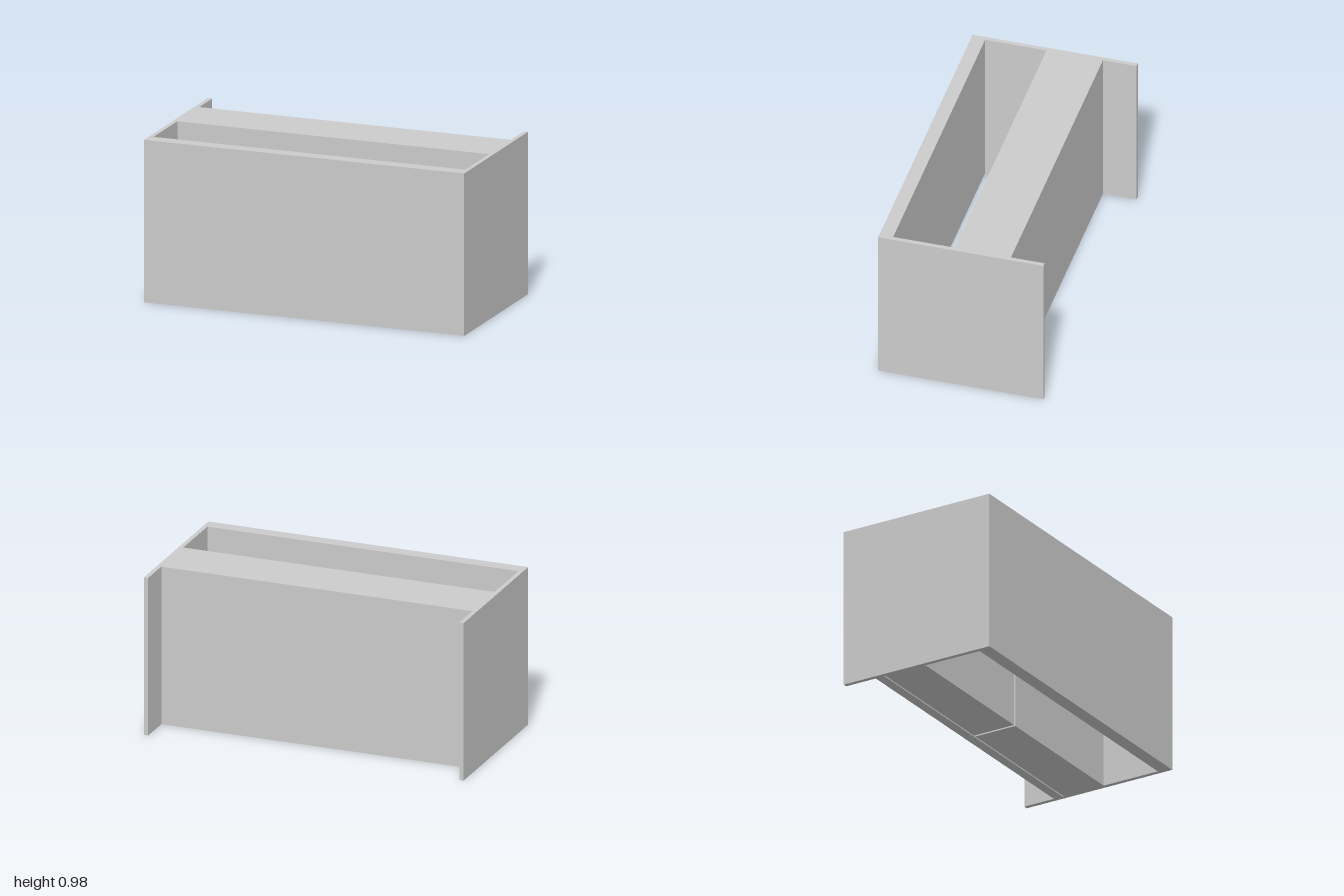
import * as THREE from 'three';

const H = 0.975;       // overall height
const D = 0.4975;      // half depth
const T = 0.027;       // side panel thickness
const IN = 1 - T;      // half of the inner width

export function createModel() {
  const group = new THREE.Group();
  const material = new THREE.MeshStandardMaterial({ color: 0xcccccc });

  // Board given by its limits on each axis
  function board(name, [x0, x1], [y0, y1], [z0, z1]) {
    const mesh = new THREE.Mesh(new THREE.BoxGeometry(x1 - x0, y1 - y0, z1 - z0), material);
    mesh.name = name;
    mesh.position.set((x0 + x1) / 2, (y0 + y1) / 2, (z0 + z1) / 2);
    group.add(mesh);
  }

  // Outer walls
  board('leftSidePanel', [IN, 1], [0, H], [-D, D]);
  board('rightSidePanel', [-1, -IN], [0, H], [-D, D]);
  board('frontPanel', [-IN, IN], [0, H], [0.415, D]);

  // Cabinet block behind the open well
  board('backPanel', [-IN, IN], [0, H], [-0.295, -0.237]);
  board('upperBlock', [-IN, IN], [0.7, H], [-0.237, 0.045]);

  // Two lower cabinets with a narrow gap between them
  board('leftCabinet', [0.008, IN], [0, 0.7], [-0.228, 0.045]);
  board('rightCabinet', [-IN, -0.008], [0, 0.7], [-0.228, 0.045]);

  return group;
}
